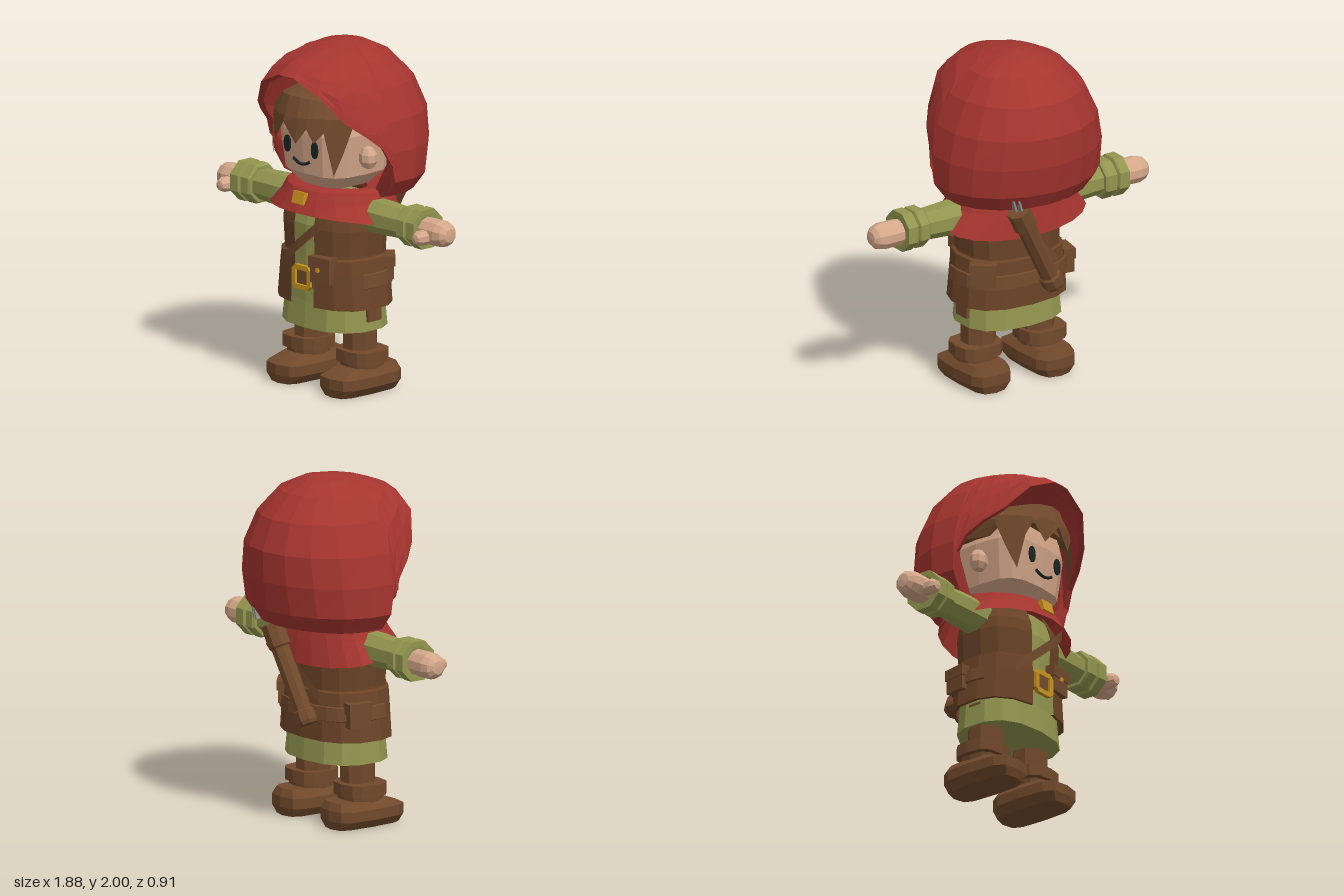
import * as THREE from 'three';

const D = THREE.DoubleSide;
const mat = (name, color, side = THREE.FrontSide) => new THREE.MeshStandardMaterial({ name, color, side });

export function createModel() {
  const red = mat('red cloth', 0xa6352f, D), coat = mat('coat brown', 0x6c4427, D);
  const leather = mat('leather brown', 0x724a2c, D), green = mat('green cloth', 0x93964f);
  const skin = mat('skin', 0xd6a88a), gold = mat('gold', 0xc9931f);
  const dark = mat('dark', 0x1c2624), grey = mat('grey', 0x8c8a80);
  const model = new THREE.Group();
  model.name = 'hoodedTraveller';

  // Adds a faceted mesh
  function add(name, geo, material, pos = [0, 0, 0], rot = [0, 0, 0]) {
    const g = geo.index ? geo.toNonIndexed() : geo;
    g.computeVertexNormals();
    const m = new THREE.Mesh(g, material);
    m.name = name;
    m.position.set(...pos);
    m.rotation.set(...rot);
    model.add(m);
    return m;
  }
  const box = (x, y, z) => new THREE.BoxGeometry(x, y, z);

  // Skin over rows of points, rising rows face outward
  function loft(rows, closed = true, caps = false) {
    const v = [], tri = (...p) => p.forEach(q => v.push(...q));
    const n = rows[0].length;
    for (let i = 0; i < rows.length - 1; i++)
      for (let j = 0; j < (closed ? n : n - 1); j++) {
        const k = (j + 1) % n, a = rows[i], b = rows[i + 1];
        tri(a[j], a[k], b[k]);
        tri(a[j], b[k], b[j]);
      }
    if (caps) {
      const lo = rows[0], hi = rows[rows.length - 1];
      for (let j = 1; j < n - 1; j++) {
        tri(lo[0], lo[j + 1], lo[j]);
        tri(hi[0], hi[j], hi[j + 1]);
      }
    }
    const g = new THREE.BufferGeometry();
    g.setAttribute('position', new THREE.Float32BufferAttribute(v, 3));
    return g;
  }
  const pw = (s, p) => Math.sign(s) * Math.abs(s) ** p;
  // Horizontal outline, a = 0 is the front; gap leaves it open there
  function ring(y, rx, rz, cz = 0.08, p = 0.8, n = 14, gap = 0) {
    return Array.from({ length: gap ? n + 1 : n }, (_, j) => {
      const a = gap + j / n * (2 * Math.PI - 2 * gap);
      return [rx * pw(Math.sin(a), p), y, cz + rz * pw(Math.cos(a), p)];
    });
  }
  const lathe = (pts, n) => new THREE.LatheGeometry(pts.map(p => new THREE.Vector2(...p)), n, Math.PI / n);

  // Hood: each meridian ends at the face opening or the neck
  const profile = [[2, 0, 0, 0], [1.97, 0.16, 0.15, 0.2], [1.91, 0.28, 0.26, 0.38], [1.85, 0.34, 0.33, 0.465],
    [1.77, 0.4, 0.39, 0.53], [1.57, 0.49, 0.46, 0.53], [1.35, 0.52, 0.43, 0.48], [1.23, 0.5, 0.4, 0.46],
    [1.16, 0.43, 0.34, 0.4], [1.13, 0.3, 0.2, 0.25]];
  function hoodPoint(y, deg) {
    let i = 0;
    while (i < profile.length - 2 && y < profile[i + 1][0]) i++;
    const a = profile[i], b = profile[i + 1], t = (a[0] - y) / (a[0] - b[0]);
    const mix = k => a[k] + (b[k] - a[k]) * t, r = deg * Math.PI / 180, c = Math.cos(r);
    return [mix(1) * Math.sin(r), y, mix(c < 0 ? 2 : 3) * c];
  }
  const half = [[10, 1.85], [36, 1.77], [50, 1.62], [62, 1.54], [72, 1.46], [77, 1.36], [80, 1.13],
    [100, 1.13], [120, 1.13], [140, 1.13], [160, 1.13]];
  const meridians = [[0, 1.85], ...half, [180, 1.13], ...half.map(([d, y]) => [360 - d, y]).reverse()];
  const outer = [1, 0.96, 0.85, 0.65, 0.45, 0.25, 0.1, 0.03, 0].map(s =>
    meridians.map(([d, y]) => hoodPoint(2 - (2 - y) * s, d)));
  const inner = outer.map(r => r.map(([x, y, z]) => [x * 0.93, 1.55 + (y - 1.55) * 0.95, z * 0.93])).reverse();
  add('hood', loft([...inner, ...outer]), red);

  // Cape with a dipping hem, and the collar rolling inward
  const capeRow = (y, dip, rx, zf, zb) => Array.from({ length: 20 }, (_, j) => {
    const a = j / 20 * 2 * Math.PI, c = Math.cos(a);
    return [rx * Math.sin(a), y + dip * c, (c > 0 ? zf : zb) * c];
  });
  add('cape', loft([capeRow(0.99, 0.055, 0.46, 0.39, 0.22), capeRow(1.1, 0.02, 0.37, 0.35, 0.2),
    capeRow(1.17, 0, 0.34, 0.32, 0.18), capeRow(1.185, 0, 0.3, 0.28, 0.16), capeRow(1.15, 0, 0.15, 0.12, 0.1)]), red);
  add('capeClasp', box(0.09, 0.07, 0.03), gold, [0, 1.125, 0.35], [-0.25, 0, 0]);

  // Head, ears and face
  add('head', loft([[1.18, 0.17, 0.17], [1.26, 0.25, 0.245], [1.5, 0.28, 0.27], [1.66, 0.24, 0.25]]
    .map(([y, x, z]) => ring(y, x, z, 0.07, 0.6, 16)), true, true), skin);
  const smile = new THREE.QuadraticBezierCurve3(new THREE.Vector3(-0.07, 1.345, 0.334),
    new THREE.Vector3(0, 1.295, 0.338), new THREE.Vector3(0.07, 1.345, 0.334));
  add('smile', new THREE.TubeGeometry(smile, 8, 0.009, 5), dark);
  for (const s of [-1, 1]) {
    const eye = new THREE.CylinderGeometry(1, 1, 1, 12).rotateX(Math.PI / 2).scale(0.027, 0.05, 0.009);
    add('eye', eye, dark, [s * 0.112, 1.42, 0.341]);
    add('ear', new THREE.SphereGeometry(1, 8, 5).scale(0.06, 0.068, 0.05), skin, [s * 0.305, 1.375, 0.11]);
  }

  // Hair cap and jagged fringe with long side locks
  add('hairCap', loft([[1.53, 0.31, 0.25, 0.02], [1.62, 0.31, 0.3, 0.06], [1.7, 0.24, 0.27, 0.07], [1.77, 0.1, 0.12, 0.07]]
    .map(([y, x, z, c]) => ring(y, x, z, c, 0.9, 12)), true, true), leather);
  const tips = [[-0.315, 1.56], [-0.28, 1.42], [-0.24, 1.29], [-0.205, 1.5], [-0.17, 1.59], [-0.11, 1.47], [-0.02, 1.585],
    [0.07, 1.47], [0.13, 1.56], [0.165, 1.48], [0.21, 1.54], [0.25, 1.29], [0.285, 1.42], [0.315, 1.56]];
  const bow = x => 0.45 - 2.2 * x * x;
  add('fringe', loft([
    tips.map(([x, y]) => [x, y, bow(x) + 0.01]), tips.map(([x]) => [x, 1.62, bow(x)]),
    tips.map(([x]) => [x * 0.85, 1.73 - 0.5 * x * x, bow(x) - 0.04]), tips.map(([x]) => [x * 0.4, 1.775, 0.15])], false), leather);

  // Tunic under an open coat
  add('tunic', loft([[0.365, 0.315, 0.238], [0.52, 0.3, 0.225], [0.78, 0.28, 0.222], [0.96, 0.29, 0.222], [1.1, 0.24, 0.18]]
    .map(([y, x, z]) => ring(y, x, z)), true, true), green);
  const open = ([y, x, z]) => ring(y, x, z, 0.08, 0.8, 14, 0.19);
  add('coatBody', loft([[0.7, 0.305, 0.235], [0.8, 0.3, 0.235], [0.95, 0.31, 0.24], [1.02, 0.3, 0.23], [1.12, 0.24, 0.18]].map(open), false), coat);
  add('coatSkirt', loft([[0.5, 0.33, 0.24], [0.5, 0.35, 0.255], [0.7, 0.33, 0.25], [0.78, 0.32, 0.245], [0.79, 0.3, 0.235]].map(open), false), coat);
  add('belt', loft([[0.62, 0.338, 0.25], [0.625, 0.348, 0.262], [0.7, 0.34, 0.258], [0.705, 0.33, 0.25]]
    .map(([y, x, z]) => ring(y, x, z, 0.08, 0.8, 14, 1.3)), false), leather);
  add('sideTab', box(0.03, 0.12, 0.1), leather, [0.305, 0.48, 0.07]);

  // Buckle with square hole
  const frame = new THREE.Shape();
  [[-0.05, -0.07], [0.05, -0.07], [0.077, -0.045], [0.077, 0.045], [0.05, 0.07], [-0.05, 0.07], [-0.077, 0.045], [-0.077, -0.045]]
    .forEach(([x, y], i) => i ? frame.lineTo(x, y) : frame.moveTo(x, y));
  const hole = new THREE.Path();
  [[-0.048, -0.042], [-0.048, 0.042], [0.048, 0.042], [0.048, -0.042]]
    .forEach(([x, y], i) => i ? hole.lineTo(x, y) : hole.moveTo(x, y));
  frame.holes.push(hole);
  add('buckle', new THREE.ExtrudeGeometry(frame, { depth: 0.025, bevelEnabled: false }), gold, [0, 0.66, 0.318]);
  add('beltFront', box(0.17, 0.1, 0.02), leather, [0, 0.66, 0.317]);

  // Pouches
  function pouch(x, y, z, turn, w, h) {
    add('pouch', box(w, h, 0.06), leather, [x, y, z], [0, turn, 0]);
    add('pouchFlap', box(w + 0.015, h * 0.45, 0.075), leather, [x, y + h * 0.3, z], [0, turn, 0]);
  }
  pouch(0.145, 0.725, 0.308, 0.12, 0.14, 0.15);
  add('pouchStud', box(0.022, 0.022, 0.012), gold, [0.142, 0.73, 0.349]);
  pouch(-0.325, 0.66, -0.02, -1.75, 0.13, 0.14);
  pouch(0.27, 0.71, -0.08, 2.4, 0.14, 0.13);

  // Shoulder strap hugging the coat, front and back
  for (const s of [1, -1]) {
    const strip = off => Array.from({ length: 9 }, (_, i) => {
      const x = -0.2 + 0.43 * i / 8;
      const bulge = (1 - Math.min(1, Math.abs(x) / 0.31) ** 2.5) ** 0.4;
      return [x, 0.71 + 0.35 * i / 8 + off, 0.08 + s * (0.24 * bulge + 0.015)];
    });
    add('strap', loft([strip(-0.032), strip(0.032)], false), leather);
  }

  // Quiver slung across the back, with two shafts in it
  const foot = new THREE.Vector3(-0.12, 0.6, -0.215), axis = new THREE.Vector3(0.28, 0.54, -0.04);
  const quiver = add('quiver', lathe([[0, 0], [0.055, 0], [0.065, 0.02], [0.065, 0.08], [0.052, 0.09], [0.056, 0.46],
    [0.068, 0.47], [0.068, 0.6], [0, 0.6]], 8), leather, foot.toArray());
  quiver.quaternion.setFromUnitVectors(new THREE.Vector3(0, 1, 0), axis.normalize());
  for (const k of [0, 1])
    add('arrowNock', box(0.012, 0.07, 0.03), grey, [0.2 + k * 0.03, 1.2, -0.33 + k * 0.01], [0, 0, -0.3]);

  for (const s of [-1, 1]) {
    // Arm, double cuff and mitten hand
    const side = [0, 0, -s * Math.PI / 2];
    add('sleeve', lathe([[0, 0.2], [0.1, 0.2], [0.1, 0.42], [0.09, 0.6], [0.11, 0.6], [0.12, 0.612], [0.12, 0.668], [0.1, 0.675],
      [0.1, 0.685], [0.122, 0.692], [0.122, 0.755], [0.09, 0.755], [0, 0.74]], 8), green, [0, 1.04, 0.07], side);
    add('hand', lathe([[0, 0.72], [0.076, 0.72], [0.079, 0.87], [0.066, 0.915], [0.04, 0.938], [0, 0.942]], 10),
      skin, [0, 1.035, 0.07], side);
    add('thumb', lathe([[0, 0], [0.043, 0], [0.043, 0.1], [0.028, 0.125], [0, 0.13]], 8),
      skin, [s * 0.805, 1.015, 0.09], [Math.PI / 2, 0, 0]);

    // Leg, boot cuff and foot
    add('leg', new THREE.CylinderGeometry(0.105, 0.1, 0.35, 8).rotateY(Math.PI / 8), leather, [s * 0.2, 0.33, 0.075]);
    add('bootCuff', loft([[0.12, 0.11, 0.11], [0.175, 0.115, 0.115], [0.18, 0.14, 0.135], [0.25, 0.14, 0.135]]
      .map(([y, x, z]) => ring(y, x, z, 0, 0.7, 12)), true, true), leather, [s * 0.22, 0, 0.075]);
    add('foot', loft([[0, 0.1, 0.225, 0.09], [0.05, 0.14, 0.24, 0.09], [0.11, 0.14, 0.24, 0.09], [0.155, 0.105, 0.17, 0.04]]
      .map(([y, x, z, c]) => ring(y, x, z, c, 0.55, 12)), true, true), leather, [s * 0.22, 0, 0]);
  }
  return model;
}
